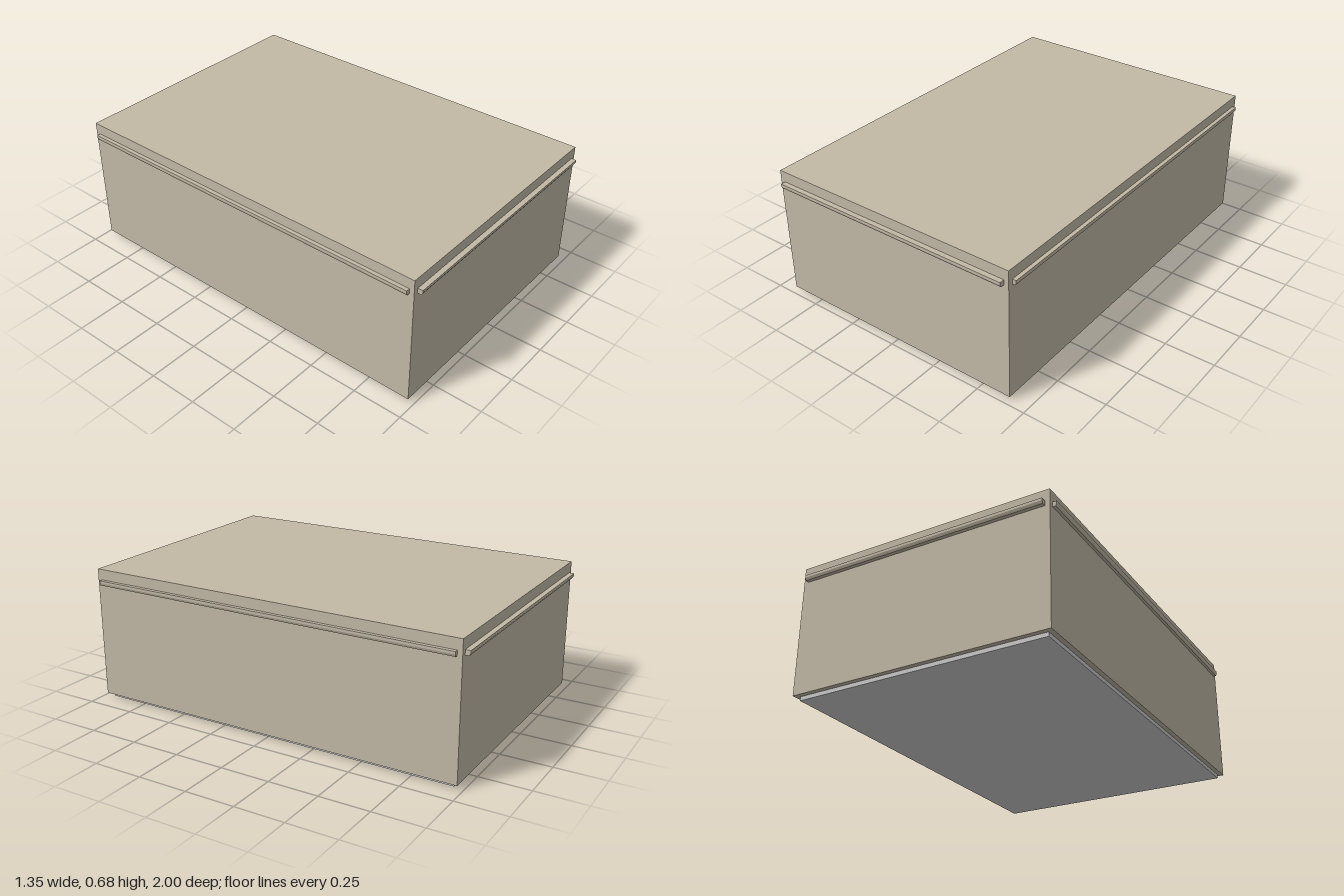
import * as THREE from 'three';

const HALF_W = 0.658, HALF_D = 0.975;   // body half width and half depth
const INSET = 0.024;                    // base and rails stop short of the corners

export function createModel() {
  const model = new THREE.Group();
  model.name = 'storageBox';
  const shell = new THREE.MeshStandardMaterial({ color: 0xc2b8a5, flatShading: true });
  const grey = new THREE.MeshStandardMaterial({ color: 0xcccccc, flatShading: true });

  const addBox = (name, w, d, y0, y1, material) => {
    const mesh = new THREE.Mesh(new THREE.BoxGeometry(w, y1 - y0, d), material);
    mesh.position.y = (y0 + y1) / 2;
    mesh.name = name;
    model.add(mesh);
  };
  addBox('body', HALF_W * 2, HALF_D * 2, 0.02, 0.678, shell);
  addBox('base', (HALF_W - INSET) * 2, (HALF_D - INSET) * 2, 0, 0.02, grey);

  // Lip profile: x points away from the wall, lower edge chamfered inward
  const profile = new THREE.Shape([
    [-0.005, 0.6], [0.014, 0.6], [0.019, 0.612], [0.019, 0.625], [-0.005, 0.625],
  ].map(([x, y]) => new THREE.Vector2(x, y)));

  const addLip = (name, wallDistance, length, angle, reach) => {
    const geometry = new THREE.ExtrudeGeometry(profile, { depth: length, bevelEnabled: false });
    geometry.translate(0, 0, -length / 2);
    geometry.scale(reach, 1, 1);
    geometry.translate(wallDistance, 0, 0);
    geometry.rotateY(angle);
    const mesh = new THREE.Mesh(geometry, shell);
    mesh.name = name;
    model.add(mesh);
  };
  const sideLength = (HALF_D - INSET) * 2, endLength = (HALF_W - INSET) * 2;
  addLip('leftLip', HALF_W, sideLength, 0, 1);
  addLip('rightLip', HALF_W, sideLength, Math.PI, 1);
  addLip('frontLip', HALF_D, endLength, -Math.PI / 2, 1.316);
  addLip('backLip', HALF_D, endLength, Math.PI / 2, 1.316);

  return model;
}
